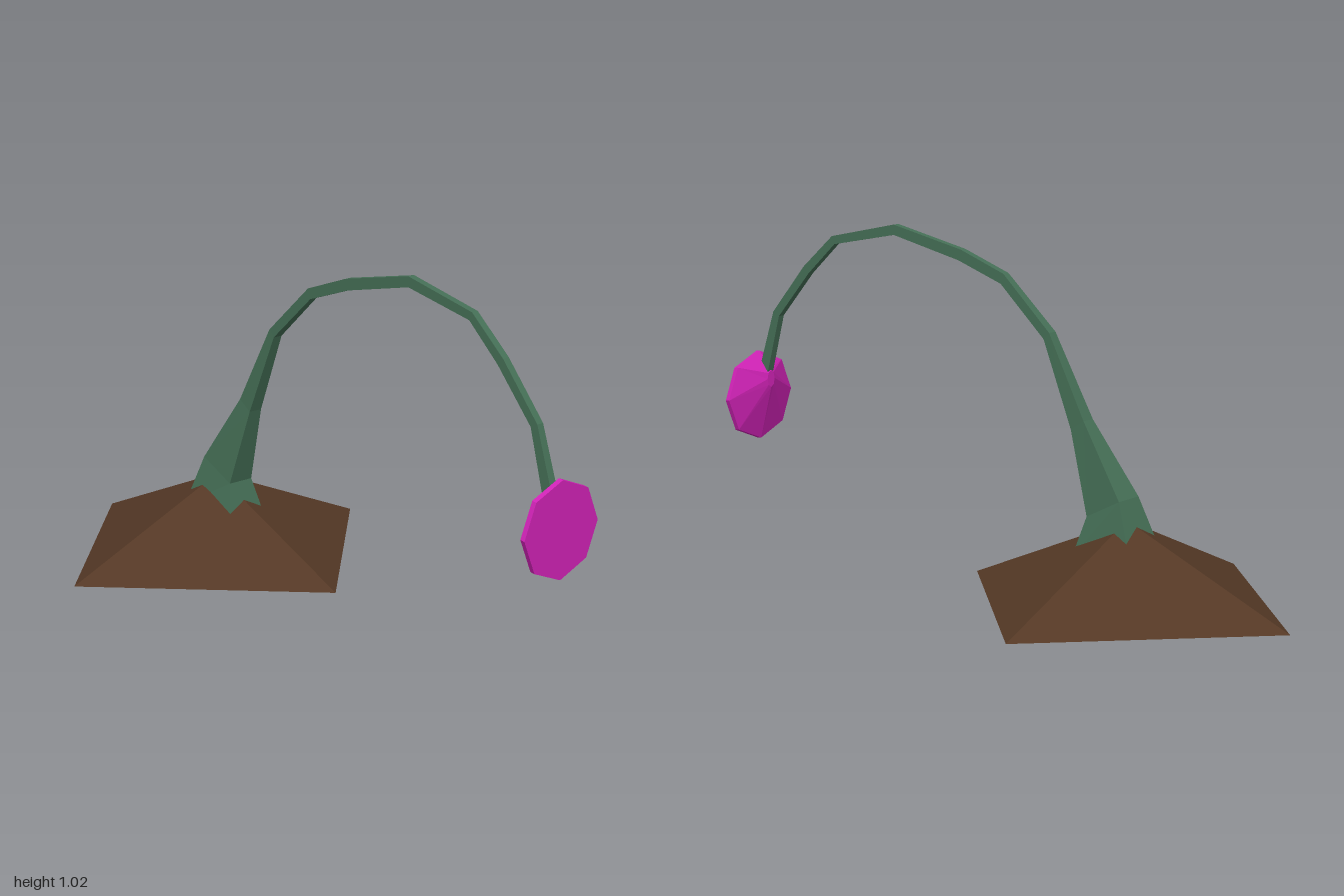
import * as THREE from 'three';

// Joins equal-sized rings of points (counterclockwise seen from the far end) and caps both ends.
function loft(rings) {
  const n = rings[0].length, pos = [];
  const tri = (a, b, c) => pos.push(...a, ...b, ...c);
  for (let r = 0; r < rings.length - 1; r++) {
    const a = rings[r], b = rings[r + 1];
    for (let i = 0; i < n; i++) {
      const j = (i + 1) % n;
      tri(a[i], a[j], b[j]);
      tri(a[i], b[j], b[i]);
    }
  }
  const first = rings[0], last = rings[rings.length - 1];
  for (let i = 1; i < n - 1; i++) {
    tri(first[0], first[i + 1], first[i]);
    tri(last[0], last[i], last[i + 1]);
  }
  const g = new THREE.BufferGeometry();
  g.setAttribute('position', new THREE.Float32BufferAttribute(pos, 3));
  g.computeVertexNormals();
  return g;
}

export function createModel() {
  const model = new THREE.Group();
  const material = (name, color) => {
    const m = new THREE.MeshStandardMaterial({ color, flatShading: true });
    m.name = name;
    return m;
  };
  const add = (name, geometry, mat) => {
    const mesh = new THREE.Mesh(geometry, mat);
    mesh.name = name;
    model.add(mesh);
    return mesh;
  };
  const soil = material('soil brown', 0x543825);
  const green = material('stem green', 0x456f56);
  const magenta = material('blossom magenta', 0xcf22b5);

  // Four-sided mound with its corners on the x and z axes
  const mound = add('mound', new THREE.ConeGeometry(0.55, 0.238, 4), soil);
  mound.position.set(-0.45, 0.119, 0);

  // Arching square stem: outer x, y, inner x, y, half depth outer, inner
  const sections = [
    [-0.515, 0.14, -0.305, 0.12, 0.077, 0.068],
    [-0.455, 0.30, -0.338, 0.24, 0.047, 0.042],
    [-0.31, 0.51, -0.265, 0.48, 0.022, 0.022],
    [-0.18, 0.75, -0.16, 0.73, 0.015, 0.015],
    [-0.01, 0.905, 0.0, 0.875, 0.012, 0.012],
    [0.15, 0.962, 0.16, 0.93, 0.011, 0.011],
    [0.41, 1.016, 0.41, 0.985, 0.011, 0.011],
    [0.66, 0.962, 0.65, 0.938, 0.011, 0.011],
    [0.78, 0.858, 0.76, 0.838, 0.011, 0.011],
    [0.912, 0.705, 0.888, 0.693, 0.011, 0.011],
    [0.972, 0.525, 0.938, 0.515, 0.012, 0.012],
    [0.972, 0.49, 0.948, 0.49, 0.01, 0.01],
  ];
  add('stem', loft(sections.map(([ox, oy, ix, iy, oz, iz]) => [
    [ox, oy, oz], [ix, iy, iz], [ix, iy, -iz], [ox, oy, -oz],
  ])), green);

  // Eight-sided blossom flaring from the stem tip to a flat face
  const ring = (x, y, ry, rz) => Array.from({ length: 8 }, (_, i) => {
    const a = (i * Math.PI) / 4;
    return [x, y + ry * Math.sin(a), -rz * Math.cos(a)];
  });
  add('blossom', loft([
    ring(0.937, 0.488, 0.027, 0.016),
    ring(0.985, 0.432, 0.14, 0.14),
    ring(1.0, 0.43, 0.14, 0.14),
  ]), magenta);

  return model;
}
